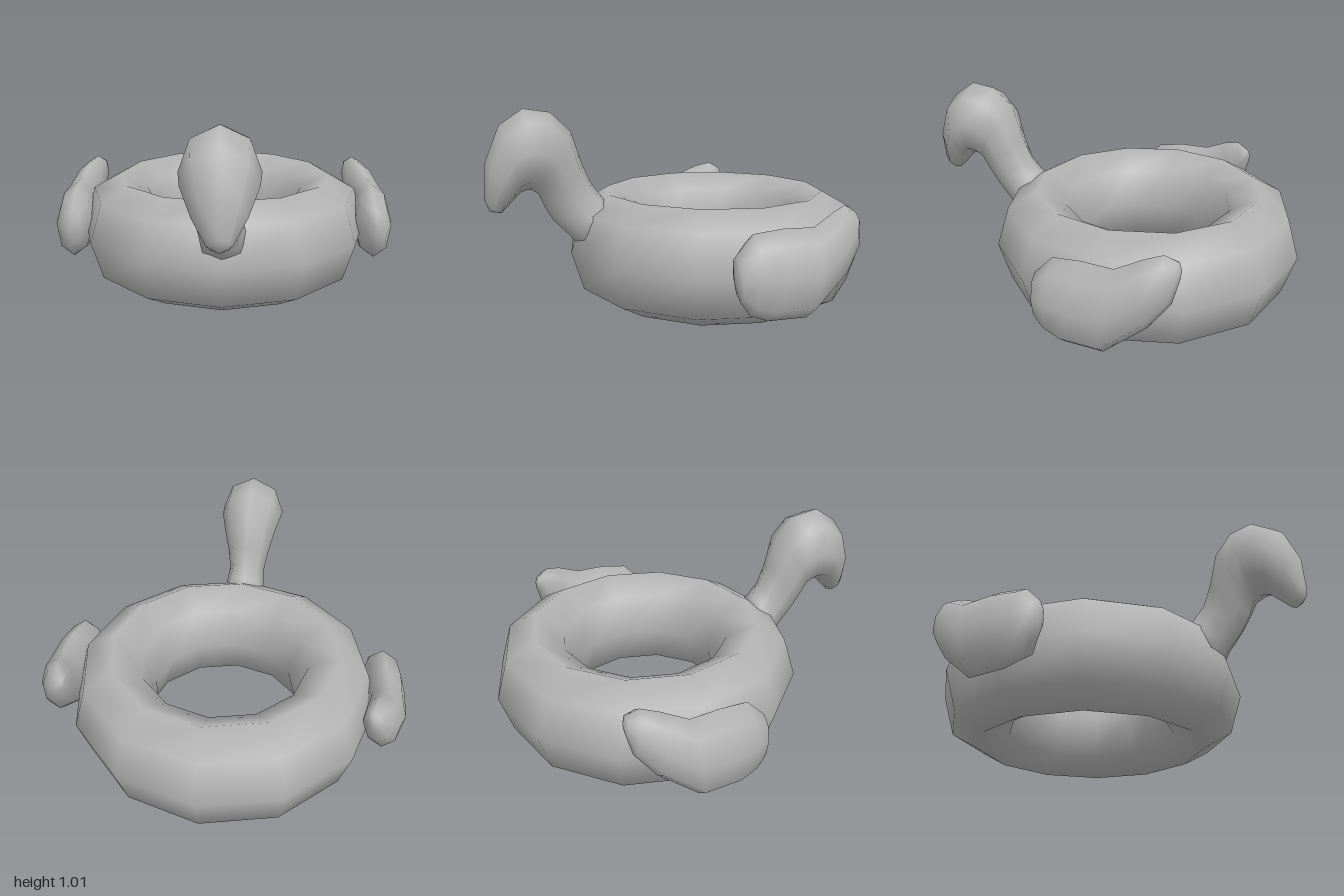
import * as THREE from 'three';

const vinyl = new THREE.MeshStandardMaterial({ color: 0xb4b4b4 });
vinyl.name = 'greyVinyl';

// Skin of elliptical sections. Each station is [ax, ay, az, bx, by, bz, halfWidth]:
// a and b are opposite ends of the section, halfWidth runs along x.
function loft(stations, startTip, endTip, sides = 8) {
  const positions = [];
  const index = [];
  for (const [ax, ay, az, bx, by, bz, w] of stations) {
    for (let j = 0; j < sides; j++) {
      const t = (j / sides) * Math.PI * 2;
      const c = Math.cos(t) / 2;
      positions.push(
        (ax + bx) / 2 + (ax - bx) * c + w * Math.sin(t),
        (ay + by) / 2 + (ay - by) * c,
        (az + bz) / 2 + (az - bz) * c
      );
    }
  }
  for (let i = 0; i < stations.length - 1; i++) {
    for (let j = 0; j < sides; j++) {
      const k = (j + 1) % sides;
      const a = i * sides + j, b = i * sides + k;
      index.push(a, b, a + sides, b, b + sides, a + sides);
    }
  }
  // Close both ends with fans
  const first = stations.length * sides;
  const last = (stations.length - 1) * sides;
  positions.push(...startTip, ...endTip);
  for (let j = 0; j < sides; j++) {
    const k = (j + 1) % sides;
    index.push(first, k, j, first + 1, last + j, last + k);
  }
  const geometry = new THREE.BufferGeometry();
  geometry.setAttribute('position', new THREE.Float32BufferAttribute(positions, 3));
  geometry.setIndex(index);
  geometry.computeVertexNormals();
  return geometry;
}

function addMesh(group, name, geometry) {
  const mesh = new THREE.Mesh(geometry, vinyl);
  mesh.name = name;
  group.add(mesh);
  return mesh;
}

export function createModel() {
  const model = new THREE.Group();
  model.name = 'inflatableBirdRing';

  // Twelve-sided swim ring, taller than it is thick
  const ring = new THREE.TorusGeometry(0.577, 0.21, 8, 12);
  ring.rotateX(Math.PI / 2);
  ring.scale(1, 0.2825 / 0.21, 1);
  addMesh(model, 'swimRing', ring).position.set(0, 0.2825, -0.213);

  // Neck and head, from beak to base: [outer y, outer z, inner y, inner z, halfWidth]
  const neck = [
    [0.59, 0.99, 0.515, 0.91, 0.055],
    [0.76, 0.98, 0.56, 0.865, 0.115],
    [0.94, 0.905, 0.61, 0.815, 0.165],
    [1.015, 0.79, 0.62, 0.785, 0.175],
    [0.995, 0.66, 0.62, 0.765, 0.168],
    [0.9, 0.56, 0.6, 0.73, 0.145],
    [0.73, 0.505, 0.53, 0.7, 0.115],
    [0.63, 0.46, 0.46, 0.66, 0.1],
    [0.57, 0.415, 0.37, 0.575, 0.11],
    [0.5, 0.36, 0.27, 0.5, 0.15],
  ].map(([ay, az, by, bz, w]) => [0, ay, az, 0, by, bz, w]);
  addMesh(model, 'neckAndHead', loft(neck, [0, 0.525, 0.965], [0, 0.37, 0.42]));

  // Wings, front to tail: [top y, top z, bottom y, bottom z, centre x, halfWidth]
  const wing = [
    [0.42, 0.045, 0.21, 0.03, 0.82, 0.055],
    [0.505, -0.04, 0.145, -0.02, 0.81, 0.1],
    [0.52, -0.18, 0.115, -0.1, 0.825, 0.107],
    [0.515, -0.33, 0.11, -0.29, 0.833, 0.102],
    [0.57, -0.45, 0.26, -0.48, 0.805, 0.09],
    [0.59, -0.53, 0.38, -0.575, 0.775, 0.068],
    [0.56, -0.585, 0.48, -0.6, 0.757, 0.035],
  ];
  for (const [name, side] of [['leftWing', 1], ['rightWing', -1]]) {
    const stations = wing.map(([ay, az, by, bz, x, w]) =>
      [side * (x - 0.015), ay, az, side * (x + 0.01), by, bz, w]);
    addMesh(model, name, loft(stations, [side * 0.82, 0.31, 0.06], [side * 0.75, 0.525, -0.605]));
  }

  return model;
}
